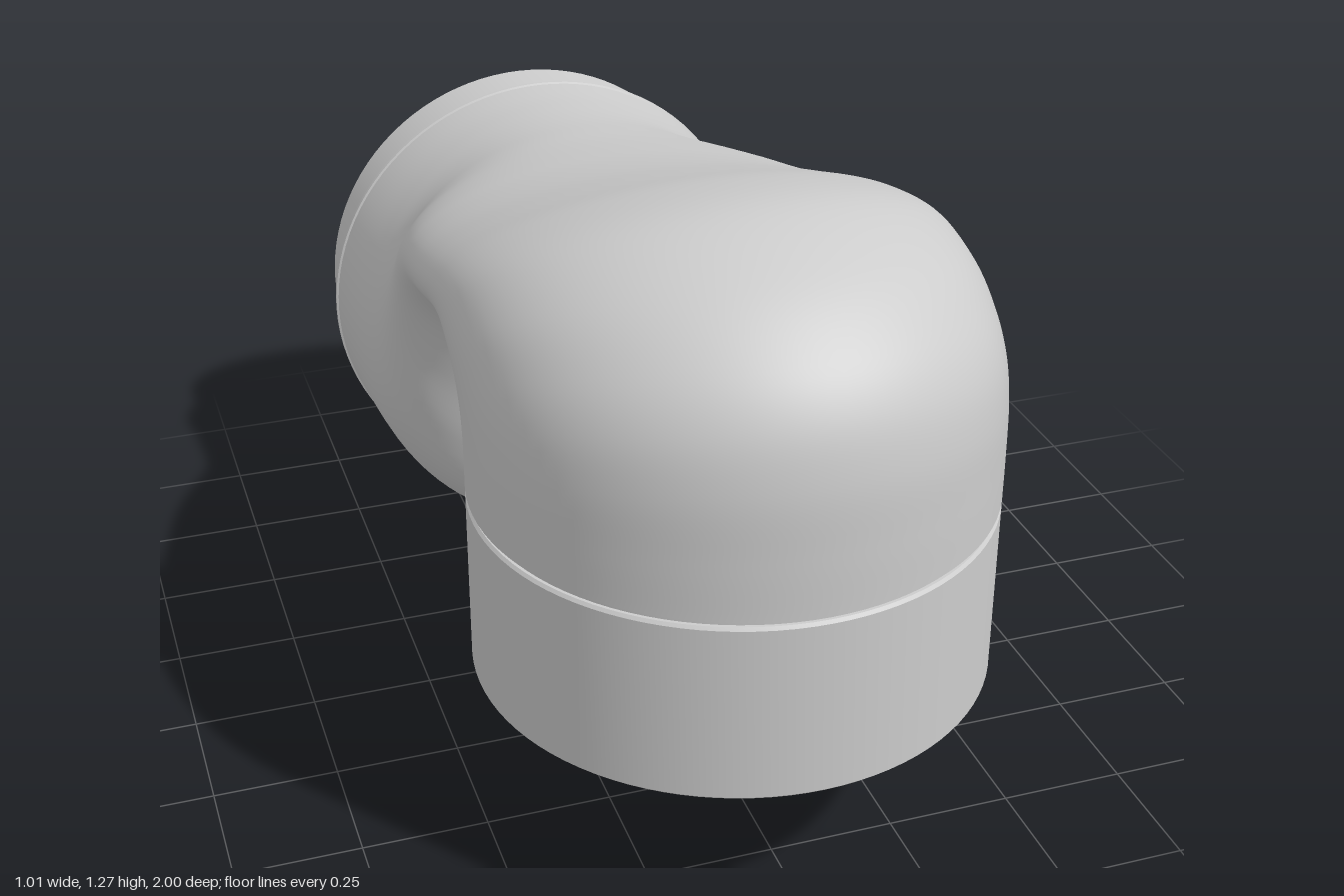
import * as THREE from 'three';
import { toCreasedNormals } from 'three/addons/utils/BufferGeometryUtils.js';

const SEGMENTS = 96;
const STEPS = 108;

// Cross-sections along the bend: outer y, z; inner y, z; half width
const SECTIONS = [
  [0.705, 1.0, 0.705, -0.006, 0.503],
  [0.82, 1.0, 0.72, -0.006, 0.503],
  [0.95, 0.995, 0.735, -0.008, 0.503],
  [1.06, 0.965, 0.748, -0.012, 0.503],
  [1.15, 0.895, 0.757, -0.02, 0.502],
  [1.23, 0.77, 0.763, -0.028, 0.5],
  [1.275, 0.58, 0.766, -0.04, 0.495],
  [1.25, 0.38, 0.765, -0.055, 0.49],
  [1.19, 0.19, 0.762, -0.075, 0.484],
  [1.135, 0.02, 0.752, -0.105, 0.477],
  [1.095, -0.13, 0.735, -0.15, 0.47],
  [1.07, -0.25, 0.695, -0.21, 0.463],
  [1.05, -0.36, 0.6, -0.282, 0.457],
  [1.037, -0.45, 0.43, -0.335, 0.456],
  [1.026, -0.53, 0.24, -0.372, 0.462],
  [1.019, -0.6, 0.1, -0.42, 0.472],
  [1.014, -0.67, 0.03, -0.505, 0.482],
  [1.01, -0.74, 0.01, -0.61, 0.49],
  [1.008, -0.83, 0.006, -0.83, 0.501],
];

// Loft of ellipses spanning the outer and inner lines, shrunk by an inset
function bendGeometry(inset, inward) {
  const spline = (pick) => new THREE.CatmullRomCurve3(
    SECTIONS.map(pick), false, 'catmullrom', 0.5);
  const outer = spline((s) => new THREE.Vector3(s[4], s[0], s[1]));
  const inner = spline((s) => new THREE.Vector3(0, s[2], s[3]));
  const positions = [];
  const indices = [];
  for (let i = 0; i <= STEPS; i++) {
    const o = outer.getPoint(i / STEPS);
    const n = inner.getPoint(i / STEPS);
    const dy = (o.y - n.y) / 2;
    const dz = (o.z - n.z) / 2;
    const scale = 1 - inset / Math.hypot(dy, dz);
    for (let j = 0; j < SEGMENTS; j++) {
      const a = (j / SEGMENTS) * Math.PI * 2;
      const c = Math.cos(a) * scale;
      positions.push((o.x - inset) * Math.sin(a), (o.y + n.y) / 2 + dy * c, (o.z + n.z) / 2 + dz * c);
      if (i === STEPS) continue;
      const p = i * SEGMENTS + j;
      const q = i * SEGMENTS + ((j + 1) % SEGMENTS);
      const r = q + SEGMENTS;
      const s = p + SEGMENTS;
      if (inward) indices.push(p, r, q, p, s, r);
      else indices.push(p, q, r, p, r, s);
    }
  }
  const geometry = new THREE.BufferGeometry();
  geometry.setAttribute('position', new THREE.Float32BufferAttribute(positions, 3));
  geometry.setIndex(indices);
  geometry.computeVertexNormals();
  return geometry;
}

function turned(profile) {
  const points = profile.map(([r, y]) => new THREE.Vector2(r, y));
  return toCreasedNormals(new THREE.LatheGeometry(points, SEGMENTS), 0.5);
}

export function createModel() {
  const group = new THREE.Group();
  const grey = new THREE.MeshStandardMaterial({ color: 0xcccccc });
  grey.name = 'lightGrey';
  const add = (name, geometry) => {
    const mesh = new THREE.Mesh(geometry, grey);
    mesh.name = name;
    group.add(mesh);
    return mesh;
  };

  // Hollow bend
  add('bendOuterWall', bendGeometry(0, false));
  add('bendInnerWall', bendGeometry(0.056, true));

  // Downward socket with a groove above it and a stop step inside
  const socket = add('socket', turned([
    [0.485, 0.33], [0.498, 0.33], [0.503, 0.335], [0.503, 0.687], [0.498, 0.693],
    [0.492, 0.693], [0.492, 0.703], [0.498, 0.703], [0.503, 0.707],
  ]));
  socket.position.z = 0.497;
  const lining = add('socketLining', turned([
    [0.447, 0.706], [0.447, 0.56], [0.485, 0.56], [0.485, 0.33],
  ]));
  lining.position.z = 0.497;

  // Rear spigot with a thin collar
  const spigot = add('spigot', turned([
    [0.5, 0.826], [0.505, 0.829], [0.505, 0.838], [0.501, 0.842],
    [0.476, 0.842], [0.476, 1], [0.445, 1], [0.445, 0.73],
  ]).rotateX(-Math.PI / 2));
  spigot.position.y = 0.507;

  return group;
}
